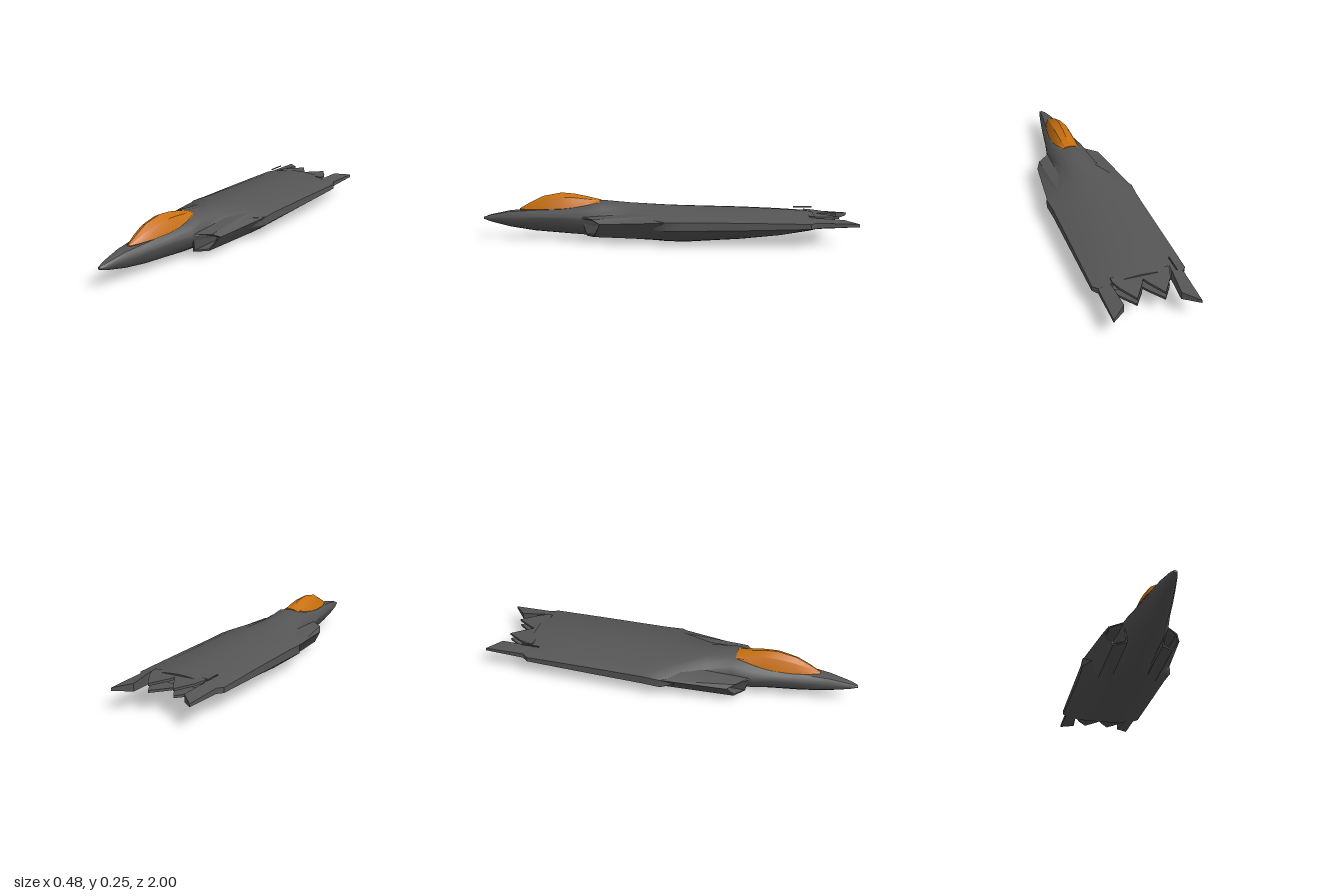
import * as THREE from 'three';
import { toCreasedNormals } from 'three/addons/utils/BufferGeometryUtils.js';

const grey = new THREE.MeshStandardMaterial({ color: 0x555555, side: THREE.DoubleSide });
const amber = new THREE.MeshStandardMaterial({ color: 0xc87010 });
const { lerp, smoothstep } = THREE.MathUtils;

// Skin through closed rings of [x, y, z], each clockwise seen from the front, with end caps.
function loft(rings, crease = 0.5) {
  const n = rings[0].length, last = (rings.length - 1) * n, index = [];
  for (let i = 0; i < last; i += n) {
    for (let j = 0; j < n; j++) {
      const a = i + j, b = i + (j + 1) % n;
      index.push(a, b, a + n, b, b + n, a + n);
    }
  }
  for (let j = 1; j < n - 1; j++) index.push(0, j + 1, j, last, last + j, last + j + 1);
  const geo = new THREE.BufferGeometry();
  geo.setAttribute('position', new THREE.Float32BufferAttribute(rings.flat(2), 3));
  geo.setIndex(index);
  return toCreasedNormals(geo, crease);
}

// Full ring from a half outline that runs from top centre to bottom centre.
function symmetric(z, half) {
  const side = half.map(([x, y]) => [x, y, z]);
  const other = side.slice(1, -1).reverse().map(([x, y]) => [-x, y, z]);
  return [...side, ...other];
}

const mirror = ring => ring.map(([x, y, z]) => [-x, y, z]).reverse();

function part(name, geometry, material = grey) {
  const mesh = new THREE.Mesh(geometry, material);
  mesh.name = name;
  return mesh;
}

// Both sides of a lofted part.
function pair(name, rings) {
  const group = new THREE.Group();
  group.name = name + 's';
  group.add(part(name + 'Left', loft(rings)));
  group.add(part(name + 'Right', loft(rings.map(mirror))));
  return group;
}

// Hull section: a rounded nose outline that turns into a wide, flat body outline further back.
function hullRing([z, top, keel, width, chineTop, chineBottom]) {
  const t = 1 - smoothstep(z, 0, 0.6);
  const above = (x, drop) => [x * width, lerp(top, chineTop, drop)];
  const below = (x, rise) => [x * width, lerp(keel, chineBottom, rise)];
  return symmetric(z, [
    [0, top],
    above(lerp(0.65, 0.34, t), lerp(0.13, 0.16, t)),
    above(lerp(0.85, 0.71, t), 0.5),
    [width, chineTop],
    [width, chineBottom],
    below(lerp(0.76, 0.62, t), lerp(0.4, 0.18, t)),
    below(lerp(0.42, 0.38, t), lerp(0.1, 0.01, t)),
    [0, keel],
  ]);
}

function fuselage() {
  // z, top, keel, half width, chine top, chine bottom
  const rings = [
    [1, 0.115, 0.104, 0.008, 0.112, 0.108],
    [0.96, 0.13, 0.089, 0.02, 0.113, 0.107],
    [0.85, 0.153, 0.062, 0.042, 0.118, 0.112],
    [0.72, 0.163, 0.042, 0.066, 0.125, 0.118],
    [0.57, 0.172, 0.03, 0.09, 0.13, 0.12],
    [0.45, 0.19, 0.022, 0.113, 0.13, 0.112],
    [0.35, 0.212, 0.018, 0.115, 0.14, 0.1],
    [0.2, 0.199, 0.012, 0.125, 0.145, 0.09],
    [0, 0.187, 0.003, 0.242, 0.125, 0.08],
    [-0.1, 0.184, 0, 0.236, 0.125, 0.08],
    [-0.4, 0.177, 0.018, 0.235, 0.124, 0.085],
    [-0.6, 0.168, 0.04, 0.235, 0.122, 0.09],
    [-0.75, 0.158, 0.069, 0.235, 0.12, 0.094],
    [-0.78, 0.155, 0.075, 0.214, 0.124, 0.095],
  ].map(hullRing);
  // Exhaust slot, recessed into the stern
  const slot = depth => rings[13].map(([x, y, z]) => [x * 0.66, lerp(0.115, y, 0.7), z + depth]);
  return part('fuselage', loft([...rings, slot(0), slot(0.12)], 0.6));
}

// Air intake: duct, swept lip and a cowl that fairs into the body
function intakes() {
  const lip = [[0.104, 0.133, 0.45], [0.178, 0.129, 0.385], [0.2, 0.107, 0.345], [0.152, 0.033, 0.378], [0.088, 0.029, 0.425]];
  const fairing = [[0.09, 0.17], [0.17, 0.153], [0.24, 0.123], [0.155, 0.021], [0.09, 0.005]].map(([x, y]) => [x, y, -0.01]);
  const inner = lip.map(([x, y, z]) => [lerp(0.144, x, 0.82), lerp(0.086, y, 0.82), z]);
  const ductBack = inner.map(([x, y]) => [x, y, 0.24]);
  return pair('intake', [ductBack, inner, lip, fairing]);
}

function canopy() {
  // z, top, half width, base height
  const rings = [
    [0.8, 0.164, 0.012, 0.156], [0.74, 0.198, 0.036, 0.158], [0.67, 0.232, 0.054, 0.16], [0.57, 0.251, 0.067, 0.165],
    [0.5, 0.245, 0.066, 0.172], [0.43, 0.231, 0.06, 0.185], [0.36, 0.214, 0.05, 0.197],
  ].map(([z, top, w, base]) => symmetric(z, [
    [0, top], [w * 0.58, lerp(base, top, 0.76)], [w * 0.84, lerp(base, top, 0.4)], [w, base + 0.004], [0, base - 0.012],
  ]));
  return part('canopy', loft(rings, 0.35), amber);
}

// Swept booms outboard of the exhaust
function tailBooms() {
  return pair('tailBoom', [
    [[0.155, 0.143, -0.74], [0.218, 0.123, -0.74], [0.218, 0.096, -0.74], [0.155, 0.08, -0.74]],
    [[0.153, 0.14, -0.79], [0.214, 0.123, -0.79], [0.214, 0.097, -0.79], [0.153, 0.084, -0.79]],
    [[0.14, 0.13, -0.93], [0.214, 0.119, -1], [0.214, 0.104, -1], [0.14, 0.091, -0.93]],
  ]);
}

// Saw-toothed exhaust flap: flat plate tilted from one height to another
function exhaustFlap(name, yFront, yRear) {
  const half = [[0.145, 0.75], [0.145, 0.78], [0.125, 0.83], [0.07, 0.915], [0.015, 0.83]];
  const outline = [...half, [0, 0.8], ...half.map(([x, z]) => [-x, z]).reverse()];
  const shape = new THREE.Shape(outline.map(([x, z]) => new THREE.Vector2(x, z)));
  const geo = new THREE.ExtrudeGeometry(shape, { depth: 0.012, bevelEnabled: false });
  geo.rotateX(-Math.PI / 2);
  const p = geo.attributes.position;
  for (let i = 0; i < p.count; i++) {
    p.setY(i, p.getY(i) + lerp(yFront, yRear, (-p.getZ(i) - 0.75) / 0.165));
  }
  geo.computeVertexNormals();
  return part(name, geo);
}

export function createModel() {
  const model = new THREE.Group();
  model.name = 'aircraftBody';
  model.add(fuselage(), intakes(), canopy(), tailBooms());
  model.add(exhaustFlap('upperExhaustFlap', 0.137, 0.125), exhaustFlap('lowerExhaustFlap', 0.08, 0.092));

  // Small blade on the rear deck
  const blade = part('deckBlade', new THREE.BoxGeometry(0.006, 0.006, 0.1));
  blade.position.set(-0.171, 0.156, -0.75);
  blade.rotation.z = 0.3;
  model.add(blade);
  return model;
}
